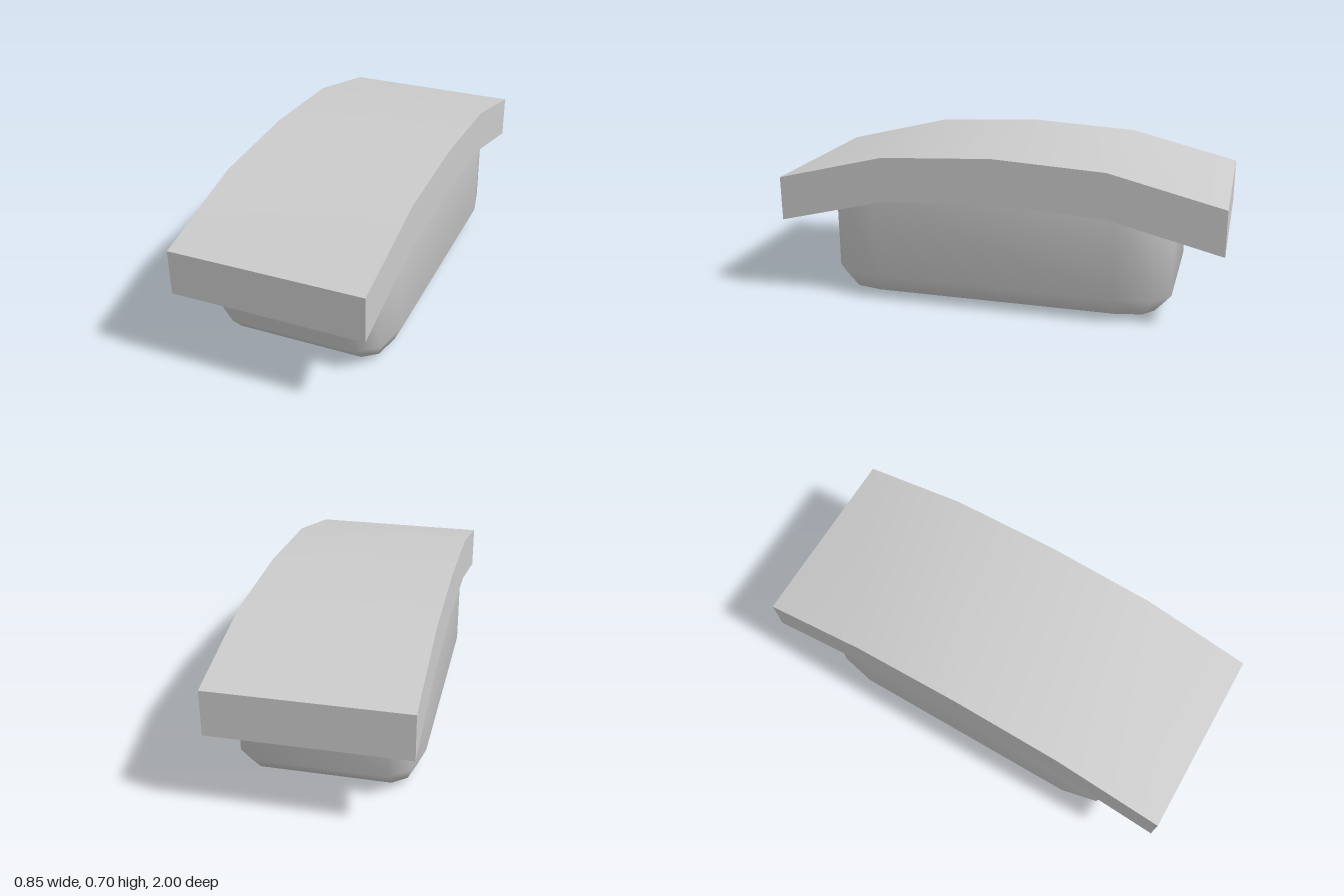
import * as THREE from 'three';
import { toCreasedNormals } from 'three/addons/utils/BufferGeometryUtils.js';

const material = new THREE.MeshStandardMaterial({ color: 0xcccccc });

// Arched slab: a faceted arc of constant thickness, extruded across the width
function lidGeometry(width, thickness) {
  const arc = [[-1, 0.352], [-0.5, 0.475], [0, 0.502], [0.5, 0.475], [1, 0.352]];
  const outline = [
    ...arc.map(([z, y]) => new THREE.Vector2(z, y)),
    ...arc.map(([z, y]) => new THREE.Vector2(z, y + thickness)).reverse(),
  ];
  const geometry = new THREE.ExtrudeGeometry(new THREE.Shape(outline), { depth: width, bevelEnabled: false });
  geometry.translate(0, 0, -width / 2).rotateY(-Math.PI / 2);
  return toCreasedNormals(geometry, Math.PI / 6);
}

// Tub: rounded rectangle rings stacked upwards, with two-step corners and bottom edge
function tubGeometry() {
  const core = { x: 0.287, z: 0.55 }, radius = { x: 0.121, z: 0.233 };
  const levels = [[0, 0], [0.032, Math.SQRT1_2], [0.107, 1], [0.51, 1]]; // height, corner size
  const corners = [[1, 1], [-1, 1], [-1, -1], [1, -1]];
  const n = 12;
  const positions = [], index = [];
  for (const [y, size] of levels) {
    corners.forEach(([sx, sz], c) => {
      for (let k = 0; k < 3; k++) {
        const a = c * Math.PI / 2 + k * Math.PI / 4;
        positions.push(
          sx * core.x + Math.cos(a) * radius.x * size, y,
          sz * core.z + Math.sin(a) * radius.z * size);
      }
    });
  }
  positions.push(0, 0, 0, 0, levels[3][0], 0); // cap centres
  const bottom = n * levels.length, top = bottom + 1, last = n * (levels.length - 1);
  for (let i = 0; i < n; i++) {
    const j = (i + 1) % n;
    const collapsed = i % 3 !== 2; // corner edges have no length on the bottom ring
    for (let l = 0; l < levels.length - 1; l++) {
      const a = l * n + i, b = l * n + j;
      if (l > 0 || !collapsed) index.push(a, b + n, b);
      index.push(a, a + n, b + n);
    }
    if (!collapsed) index.push(bottom, i, j);
    index.push(top, last + j, last + i);
  }
  const geometry = new THREE.BufferGeometry();
  geometry.setAttribute('position', new THREE.Float32BufferAttribute(positions, 3));
  geometry.setIndex(index);
  return toCreasedNormals(geometry, Math.PI / 3);
}

export function createModel() {
  const group = new THREE.Group();
  const lid = new THREE.Mesh(lidGeometry(0.848, 0.202), material);
  lid.name = 'archedTop';
  const tub = new THREE.Mesh(tubGeometry(), material);
  tub.name = 'roundedBase';
  tub.position.set(0.004, 0, 0.002);
  group.add(lid, tub);
  return group;
}
